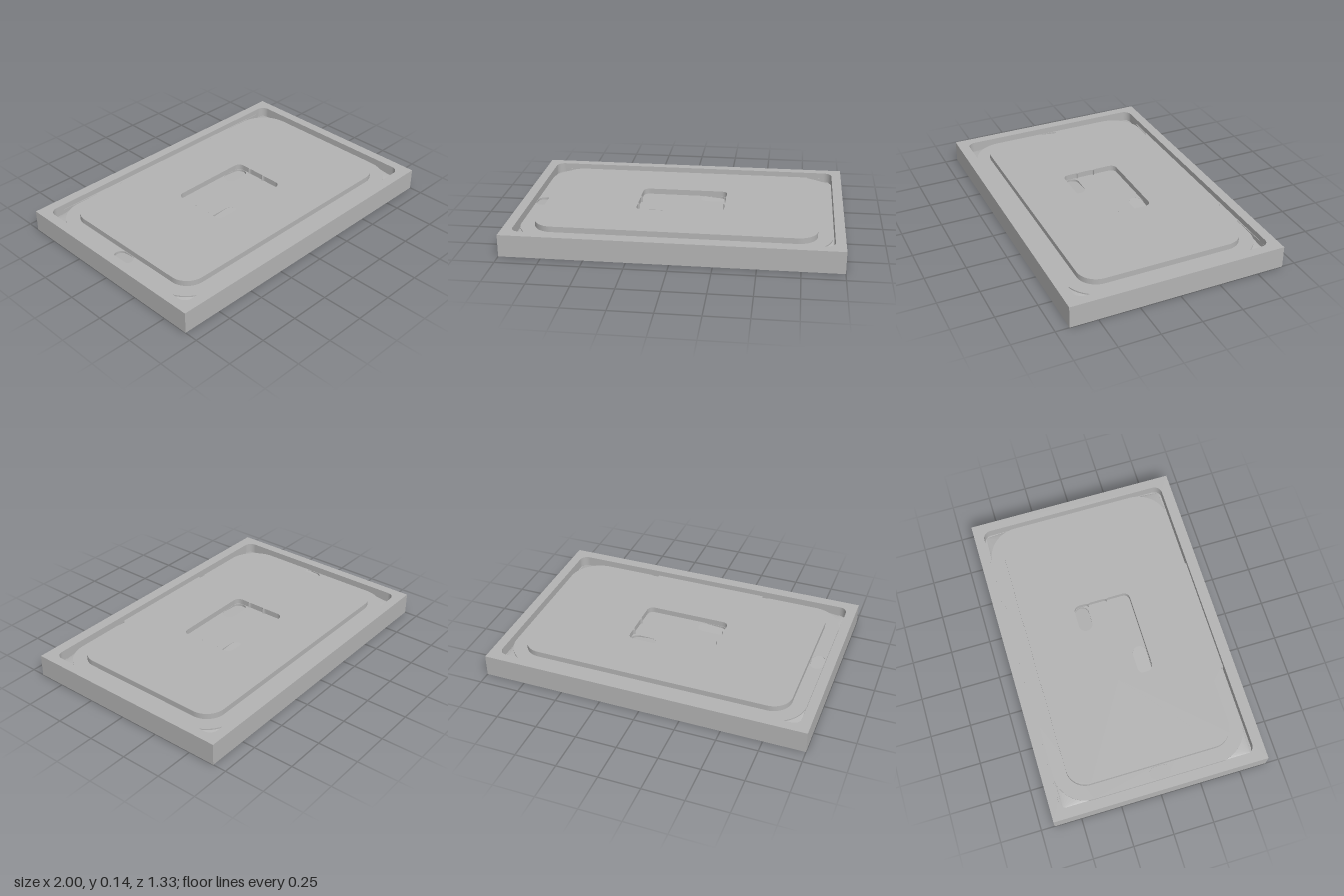
import * as THREE from 'three';

const HEIGHT = 0.135, FLOOR = 0.1, BASE = 0.07;   // rim, moat floor and groove floor levels
const ZC = -0.003;                                // the recess sits slightly off centre

// Traces a rounded rectangle in (x, z)
function roundRect(path, hx, hz, r, cz = ZC) {
  const corners = [[1, 1, 0], [-1, 1, 1], [-1, -1, 2], [1, -1, 3]];
  for (const [sx, sz, q] of corners)
    path.absarc(sx * (hx - r), cz + sz * (hz - r), r, q * Math.PI / 2, (q + 1) * Math.PI / 2);
  path.closePath();
  return path;
}

// Rounded slot running from point a to point b
function slotPath(path, a, b, r) {
  const ang = Math.atan2(b[1] - a[1], b[0] - a[0]);
  path.absarc(b[0], b[1], r, ang - Math.PI / 2, ang + Math.PI / 2);
  path.absarc(a[0], a[1], r, ang + Math.PI / 2, ang + Math.PI * 1.5);
  path.closePath();
  return path;
}

function blockOutline() {
  return new THREE.Shape([[-1, -0.667], [1, -0.667], [1, 0.667], [-1, 0.667]]
    .map(([x, z]) => new THREE.Vector2(x, z)));
}

// U-shaped groove on one side: narrow along the edges, wide at the corners
function groovePath(s) {
  const p = new THREE.Path(), X = 0.94, Z = 0.604, R = 0.05, w = 0.01, r = 0.2;
  const half = Math.PI / 2;
  const arc = (x, z, rad, from, to, cw) => s > 0
    ? p.absarc(x, ZC + z, rad, from, to, cw)
    : p.absarc(-x, ZC + z, rad, Math.PI - from, Math.PI - to, !cw);
  p.moveTo(s * 0.37, ZC - Z);
  arc(X - R, -Z + R, R, -half, 0, false);
  arc(X - R, Z - R, R, 0, half, false);
  p.lineTo(s * 0.37, ZC + Z);
  p.lineTo(s * 0.37, ZC + Z - 0.016);
  p.lineTo(s * 0.41, ZC + Z - 0.016);
  p.lineTo(s * 0.42, ZC + Z - w);
  arc(X - w - r, Z - w - r, r, half, 0, true);
  arc(X - w - r, -Z + w + r, r, 0, -half, true);
  p.lineTo(s * 0.42, ZC - Z + w);
  p.lineTo(s * 0.41, ZC - Z + 0.016);
  p.lineTo(s * 0.37, ZC - Z + 0.016);
  p.closePath();
  return p;
}

// Centre pocket with scalloped short ends
function pocketPath() {
  const p = new THREE.Path(), x = 0.27, n = 0.258;
  p.moveTo(0.225, -0.185);
  const lobe = (s, z0, z1, a, b) => {
    const d = Math.sign(z1 - z0);
    p.quadraticCurveTo(s * x, z0, s * x, z0 + d * a);
    p.lineTo(s * x, z1 - d * b);
    p.quadraticCurveTo(s * x, z1, s * (Math.abs(z1) > 0.15 ? 0.225 : n), z1);
  };
  lobe(1, -0.185, -0.09, 0.045, 0.02);
  lobe(1, -0.09, 0.03, 0.02, 0.02);
  lobe(1, 0.03, 0.178, 0.02, 0.045);
  p.lineTo(-0.225, 0.178);
  lobe(-1, 0.178, 0.08, 0.045, 0.02);
  lobe(-1, 0.08, -0.035, 0.02, 0.02);
  lobe(-1, -0.035, -0.185, 0.02, 0.045);
  p.closePath();
  return p;
}

export function createModel() {
  const group = new THREE.Group();
  const grey = new THREE.MeshStandardMaterial({ color: 0xb3b3b3, side: THREE.DoubleSide });
  grey.name = 'grey';

  const add = (name, geometry) => {
    const mesh = new THREE.Mesh(geometry, grey);
    mesh.name = name;
    group.add(mesh);
  };
  // Extrudes an (x, z) outline between two heights
  const slab = (name, shape, y0, y1) => {
    const g = new THREE.ExtrudeGeometry(shape, { depth: y1 - y0, bevelEnabled: false, curveSegments: 14 });
    add(name, g.rotateX(Math.PI / 2).translate(0, y1, 0));
  };

  // Solid base
  slab('base', blockOutline(), 0, BASE);

  // Floor layer, cut by the side grooves and the sloping slots
  const slots = [
    { name: 'pocketRampBack', a: [0.224, -0.14], b: [0.15, -0.14], r: 0.044 },
    { name: 'pocketRampFront', a: [-0.224, 0.132], b: [-0.13, 0.132], r: 0.044 },
    { name: 'moatRamp', a: [-0.887, 0], b: [-0.887, 0.05], r: 0.04 },
  ];
  const floor = blockOutline();
  floor.holes.push(groovePath(1), groovePath(-1));
  for (const { a, b, r } of slots) floor.holes.push(slotPath(new THREE.Path(), a, b, r));
  slab('moatFloor', floor, BASE, FLOOR);

  // Sloping slot bottoms, deepest at a and level with the floor past b
  for (const { name, a, b, r } of slots) {
    const g = new THREE.ShapeGeometry(slotPath(new THREE.Shape(), a, b, r), 14).rotateX(Math.PI / 2);
    const pos = g.attributes.position;
    const dx = b[0] - a[0], dz = b[1] - a[1], len = Math.hypot(dx, dz);
    for (let i = 0; i < pos.count; i++) {
      const along = ((pos.getX(i) - a[0]) * dx + (pos.getZ(i) - a[1]) * dz) / len;
      pos.setY(i, FLOOR - 0.015 * (1 - (along + r) / (len + 2 * r)));
    }
    // Shape faces point down after the turn, so reverse them
    const index = g.index.array;
    for (let i = 0; i < index.length; i += 3) [index[i], index[i + 1]] = [index[i + 1], index[i]];
    g.computeVertexNormals();
    add(name, g);
  }

  // Corner ramps falling from the moat floor to the outer corners
  for (const sx of [1, -1]) for (const sz of [1, -1]) {
    const v = [], N = 12, r = 0.2;
    const at = (i) => {
      const t = i / N * Math.PI / 2;
      return [sx * (0.73 + r * Math.cos(t)), 0.092, ZC + sz * (0.394 + r * Math.sin(t))];
    };
    const corner = [sx * 0.925, 0.075, ZC + sz * 0.589];
    for (let i = 0; i < N; i++) {
      const pair = sx * sz > 0 ? [at(i + 1), at(i)] : [at(i), at(i + 1)];
      v.push(...corner, ...pair[0], ...pair[1]);
    }
    const g = new THREE.BufferGeometry();
    g.setAttribute('position', new THREE.Float32BufferAttribute(v, 3));
    // Keep the fan facing up
    g.computeVertexNormals();
    if (g.attributes.normal.getY(0) < 0) {
      const p = g.attributes.position.array;
      for (let i = 0; i < p.length; i += 9)
        for (let k = 0; k < 3; k++) [p[i + 3 + k], p[i + 6 + k]] = [p[i + 6 + k], p[i + 3 + k]];
      g.computeVertexNormals();
    }
    add('cornerRamp', g);
  }

  // Raised rim around the moat
  const rim = blockOutline();
  rim.holes.push(roundRect(new THREE.Path(), 0.94, 0.604, 0.05));
  slab('rim', rim, FLOOR, HEIGHT);

  // Central plateau with its pocket
  const plateau = roundRect(new THREE.Shape(), 0.843, 0.512, 0.12);
  plateau.holes.push(pocketPath());
  slab('plateau', plateau, FLOOR, HEIGHT);

  return group;
}
